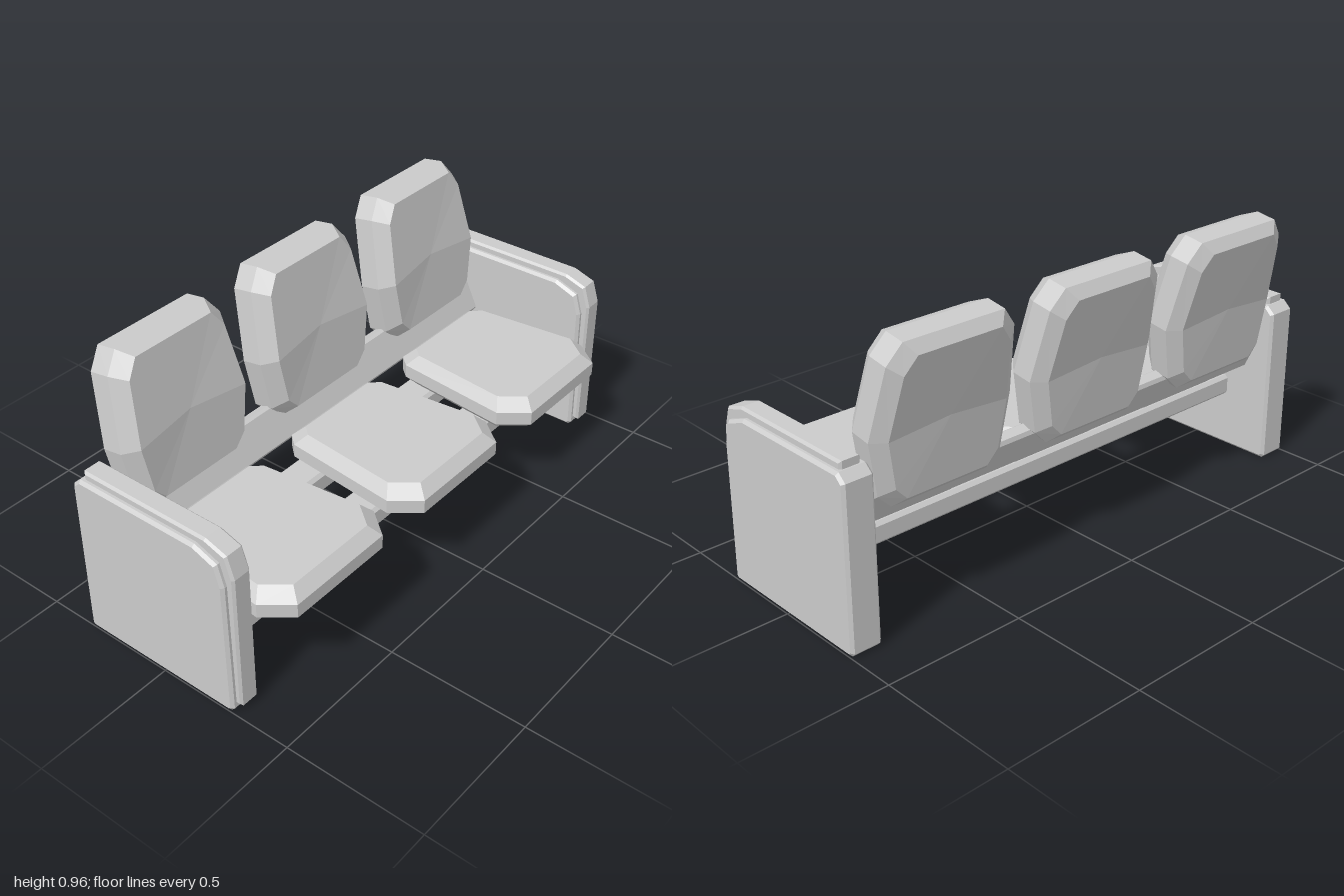
import * as THREE from 'three';

const mat = new THREE.MeshStandardMaterial({ color: 0xcccccc, flatShading: true });

// Full outline, counter-clockwise, from its right half listed bottom to top
const mirrorOutline = (half) => [...half, ...half.map(([x, y]) => [-x, y]).reverse()];

// Closed faceted solid through rings ordered from back (-z) to front (+z)
function loft(rings, backDish = 0) {
  const pos = [], n = rings[0].length;
  const tri = (...pts) => pts.forEach((p) => pos.push(...p));
  const centre = (ring) => [0, 1, 2].map((k) => ring.reduce((s, p) => s + p[k], 0) / n);
  const first = rings[0], last = rings[rings.length - 1];
  const c0 = centre(first), c1 = centre(last);
  c0[2] += backDish;
  for (let i = 0; i < n; i++) {
    const j = (i + 1) % n;
    for (let r = 0; r + 1 < rings.length; r++) {
      const a = rings[r], b = rings[r + 1];
      tri(a[i], a[j], b[j]);
      tri(a[i], b[j], b[i]);
    }
    tri(c0, first[j], first[i]);
    tri(c1, last[i], last[j]);
  }
  const g = new THREE.BufferGeometry();
  g.setAttribute('position', new THREE.Float32BufferAttribute(pos, 3));
  g.computeVertexNormals();
  return g;
}

// Profile of [z, y] points swept along x, centred, with bevelled ends
function sweepX(points, width, bevel) {
  const shape = new THREE.Shape(points.map(([z, y]) => new THREE.Vector2(z, y)));
  const g = new THREE.ExtrudeGeometry(shape, {
    depth: width - 2 * bevel, bevelEnabled: bevel > 0, bevelSize: bevel,
    bevelThickness: bevel, bevelOffset: -bevel, bevelSegments: 1,
  });
  g.translate(0, 0, bevel - width / 2);
  g.rotateY(-Math.PI / 2);
  return g;
}

// Cushion with a tapered octagonal plan and chamfered rim
function seatGeometry() {
  const outline = mirrorOutline([[0.2, -0.395], [0.275, -0.3], [0.232, 0.125], [0.195, 0.167]]);
  const cy = -0.115;
  const rings = [[0.28, 0.86], [0.318, 1], [0.367, 1], [0.405, 0.86]].map(([h, s]) =>
    outline.map(([x, y]) => [x * s, cy + (y - cy) * s, h]));
  return loft(rings).rotateX(-Math.PI / 2);
}

// Upright pad, leaning back above its widest point
function backrestGeometry() {
  const outline = mirrorOutline([[0.185, 0.425], [0.235, 0.475], [0.268, 0.66], [0.237, 0.9], [0.187, 0.965]]);
  const cy = 0.68;
  const lean = (y) => (y > 0.65 ? -0.23 * (y - 0.65) : 0.05 * (0.65 - y));
  const layers = [[-0.333, 0.83, -0.015], [-0.298, 1, -0.012], [-0.225, 1, 0], [-0.177, 0.85, 0.012]];
  const rings = layers.map(([z, s, dy]) => outline.map(([x, y]) => {
    const py = cy + (y - cy) * (s < 1 ? s + 0.04 : 1);
    return [x * s, py + dy, z + lean(py)];
  }));
  return loft(rings, 0.008);
}

export function createModel() {
  const group = new THREE.Group();
  const add = (name, geometry, x = 0, z = 0) => {
    const mesh = new THREE.Mesh(geometry, mat);
    mesh.name = name;
    mesh.position.set(x, 0, z);
    group.add(mesh);
  };

  // Three seats with backrests
  const seat = seatGeometry(), back = backrestGeometry();
  for (const i of [-1, 0, 1]) {
    add('seat', seat, i * 0.616);
    add('backrest', back, i * 0.618);
  }

  // End panels with a narrower trim band over the front and top edges
  const panel = sweepX([
    [-0.33, 0.012], [-0.318, 0], [0.273, 0], [0.285, 0.012], [0.279, 0.49],
    [0.256, 0.565], [0.17, 0.597], [-0.3, 0.597], [-0.33, 0.57],
  ], 0.112, 0.01);
  const trim = sweepX([
    [0.26, 0.024], [0.305, 0.024], [0.305, 0.52], [0.28, 0.597], [0.2, 0.623],
    [-0.295, 0.623], [-0.295, 0.55], [0.16, 0.55], [0.26, 0.48],
  ], 0.074, 0.008);
  for (const side of [-1, 1]) {
    add('endPanel', panel, side * 0.944);
    add('armTrim', trim, side * 0.944);
  }

  // Two chamfered rails under the seats
  const rail = sweepX([
    [-0.05, 0.202], [0.05, 0.202], [0.062, 0.214], [0.062, 0.268],
    [0.05, 0.28], [-0.05, 0.28], [-0.062, 0.268], [-0.062, 0.214],
  ], 1.8, 0);
  add('frontRail', rail, 0, 0.173);
  add('rearRail', rail, 0, -0.083);

  // Tilted rail carrying the backrests
  add('backRail', sweepX([
    [-0.21, 0.342], [-0.178, 0.346], [-0.17, 0.36], [-0.225, 0.472],
    [-0.236, 0.478], [-0.266, 0.465], [-0.27, 0.45], [-0.22, 0.345],
  ], 1.8, 0));
  return group;
}
